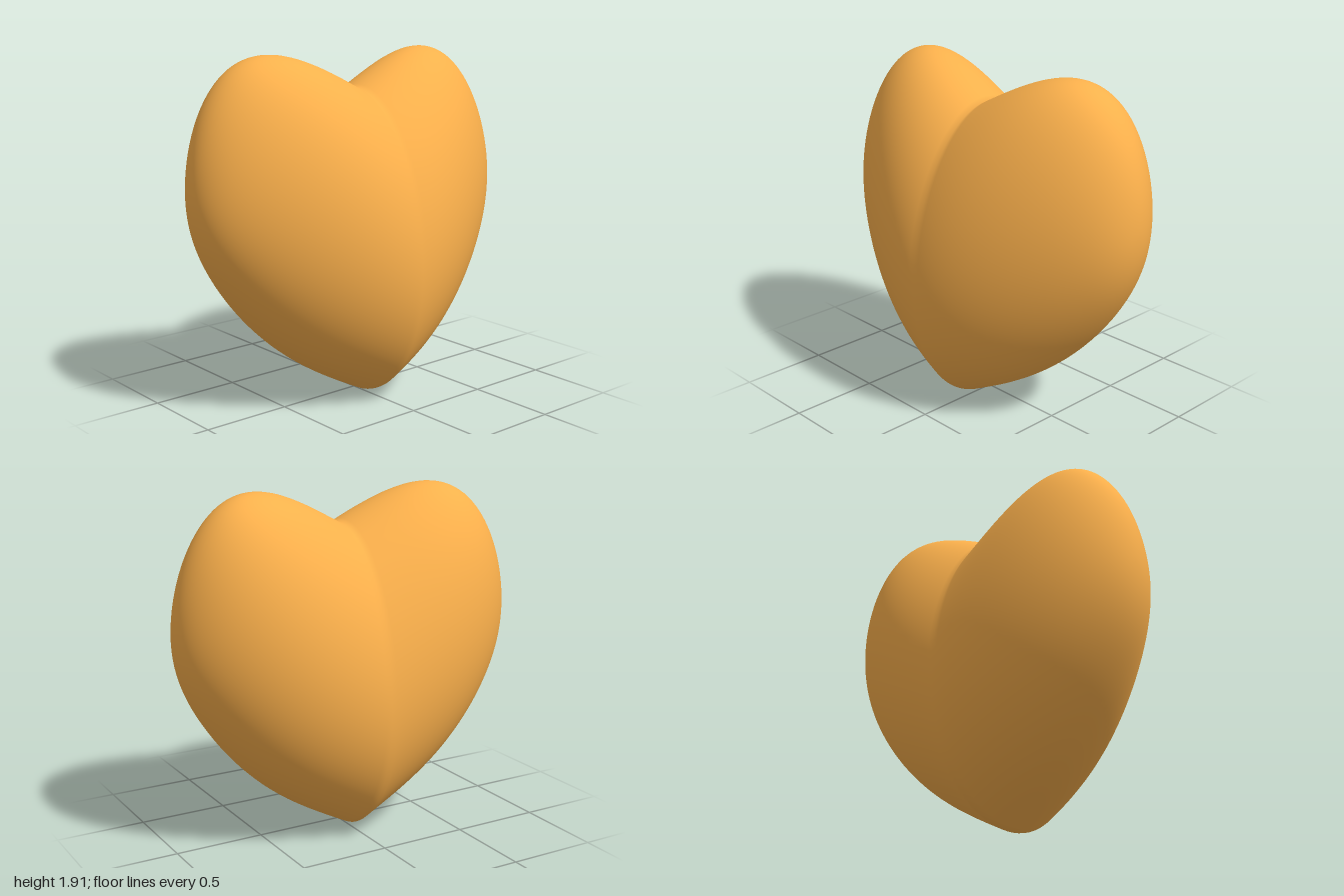
import * as THREE from 'three';

const RINGS = 96, SIDES = 96;
const { smoothstep } = THREE.MathUtils;

// Point on the surface: z runs from lobe tip to lobe tip, a goes round the cross-section
function surfacePoint(z, a) {
  const u = Math.abs(z);
  const round = Math.sqrt(Math.max(0, 1 - u * u));
  const up = Math.sin(a);
  const lift = 0.52 * u - 0.177 * u ** 5;
  const height = 0.857 * round * (1 + 0.115 * smoothstep(u, 0, 0.8));
  // Egg-shaped section: thicker at the bottom, thinner at the top and towards the tips
  const width = 0.56 * round * (1 - 0.1 * u * u) * (1 - 0.1 * up);
  // The lobes bend and lean slightly to one side
  const shift = -0.07 * smoothstep(u, 0, 0.9) - 0.035 * u * round * up;
  return [shift + width * Math.cos(a), 0.857 + lift + height * up, z];
}

// Rings of points from the back tip to the front tip, closed by a single point at each end
function heartGeometry() {
  const positions = [...surfacePoint(-1, 0)], indices = [];
  for (let i = 1; i < RINGS; i++) {
    const z = -Math.cos((i / RINGS) * Math.PI);
    for (let j = 0; j < SIDES; j++) {
      positions.push(...surfacePoint(z, (j / SIDES) * Math.PI * 2));
    }
  }
  positions.push(...surfacePoint(1, 0));

  const last = (RINGS - 1) * SIDES + 1;
  for (let j = 0; j < SIDES; j++) {
    const next = (j + 1) % SIDES;
    indices.push(0, 1 + next, 1 + j);
    for (let i = 0; i < RINGS - 2; i++) {
      const a = 1 + i * SIDES + j, b = 1 + i * SIDES + next;
      indices.push(a, b, b + SIDES, a, b + SIDES, a + SIDES);
    }
    indices.push(last - SIDES + j, last - SIDES + next, last);
  }
  const geometry = new THREE.BufferGeometry();
  geometry.setAttribute('position', new THREE.Float32BufferAttribute(positions, 3));
  geometry.setIndex(indices);
  geometry.computeVertexNormals();
  return geometry;
}

export function createModel() {
  const group = new THREE.Group();
  group.name = 'heart';
  const body = new THREE.Mesh(
    heartGeometry(),
    new THREE.MeshStandardMaterial({ color: 0xfcb14c }),
  );
  body.name = 'heartBody';
  group.add(body);
  return group;
}
